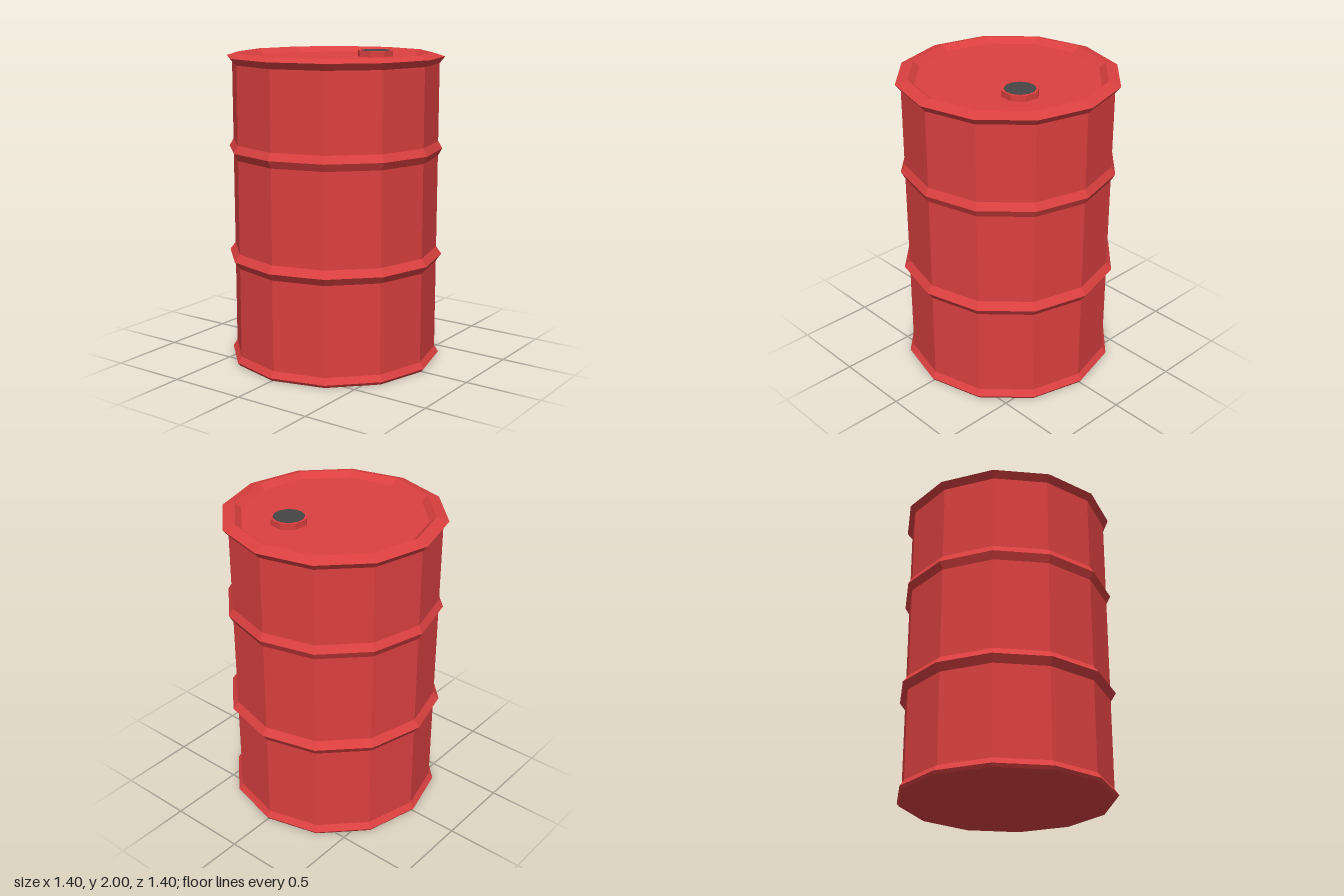
import * as THREE from 'three';

// Faceted solid of revolution from [radius, height] pairs, listed bottom to top
function turned(name, profile, sides, material, start = 0) {
  const points = profile.map(([r, y]) => new THREE.Vector2(r, y));
  const mesh = new THREE.Mesh(new THREE.LatheGeometry(points, sides, start), material);
  mesh.name = name;
  return mesh;
}

export function createModel() {
  const red = new THREE.MeshStandardMaterial({ color: 0xdc4040, flatShading: true });
  red.name = 'red paint';
  const dark = new THREE.MeshStandardMaterial({ color: 0x464646, flatShading: true });
  dark.name = 'dark grey';

  const group = new THREE.Group();
  group.name = 'barrel';

  // Pointed hoop standing out from the wall
  const wall = 0.663;
  const hoop = (y, r) => [[wall, y - 0.048], [r, y], [wall, y + 0.048]];

  // Drum: base, bottom rim, wall with two hoops, top rim and sunken lid
  group.add(turned('drum', [
    [0, 0.005], [0.6, 0.005], [0.675, 0], [0.69, 0.02], [wall, 0.06],
    ...hoop(0.692, 0.698),
    ...hoop(1.387, 0.69),
    [wall, 1.93], [0.697, 1.972], [0.62, 1.996],
    [0.58, 1.96], [0, 1.96],
  ], 12, red));

  // Bung on the lid, with a dark plug
  const bung = new THREE.Group();
  bung.name = 'bung';
  bung.position.set(0.25, 0, 0.144);
  const turn = THREE.MathUtils.degToRad(17);
  bung.add(turned('bungCollar', [[0.117, 1.955], [0.117, 1.998], [0, 1.998]], 8, red, turn));
  bung.add(turned('bungPlug', [[0.097, 1.997], [0.097, 2], [0, 2]], 12, dark, turn));
  group.add(bung);

  return group;
}
